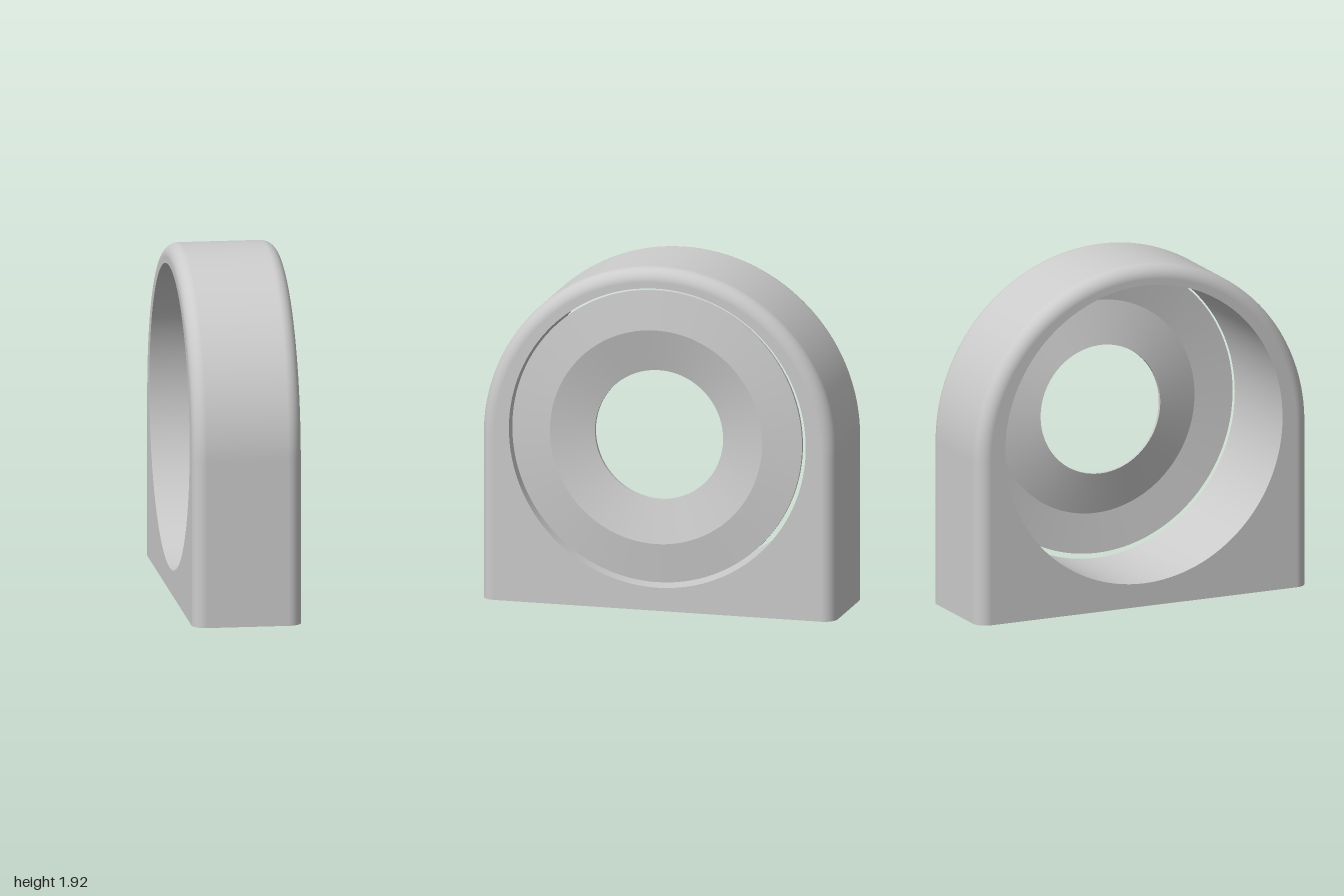
import * as THREE from 'three';
import { mergeGeometries } from 'three/addons/utils/BufferGeometryUtils.js';
import { ParametricGeometry } from 'three/addons/geometries/ParametricGeometry.js';

const X0 = -0.315, X1 = 0.285;          // housing faces
const ARCH_Y = 0.92, FILLET = 0.075;    // arch of radius 1, rounded edges
const BORE_Y = 0.97, BORE_R = 0.84;
const PLATE_Y = 0.982;

// Cross-section of the rim, from the +x face round to the -x face: [x, inset]
function rim(v) {
  if (v > 0.4 && v < 0.6) {
    return [THREE.MathUtils.mapLinear(v, 0.4, 0.6, X1 - FILLET, X0 + FILLET), 0];
  }
  const plusSide = v <= 0.4;
  const a = (plusSide ? v : 1 - v) / 0.4 * Math.PI / 2;
  const out = FILLET * (1 - Math.sin(a)), along = FILLET * (1 - Math.cos(a));
  return [plusSide ? X1 - along : X0 + along, out];
}

// Rim point: straight side, arch, straight side
function rimPoint(u, v, target) {
  const [x, inset] = rim(v);
  const r = 1 - inset;
  if (u < 0.1) target.set(x, ARCH_Y * u / 0.1, r);
  else if (u > 0.9) target.set(x, ARCH_Y * (1 - u) / 0.1, -r);
  else {
    const a = (u - 0.1) / 0.8 * Math.PI;
    target.set(x, ARCH_Y + r * Math.sin(a), r * Math.cos(a));
  }
}

// Flat arched face with the bore cut out
function faceGeometry(x, turn) {
  const r = 1 - FILLET;
  const shape = new THREE.Shape();
  shape.moveTo(-r, 0).lineTo(r, 0).lineTo(r, ARCH_Y);
  shape.absarc(0, ARCH_Y, r, 0, Math.PI, false);
  shape.lineTo(-r, 0);
  shape.holes.push(new THREE.Path().absarc(0, BORE_Y, BORE_R, 0, Math.PI * 2, true));
  return new THREE.ShapeGeometry(shape, 64).rotateY(turn).translate(x, 0, 0);
}

// Flat underside following the rounded rim section
function baseGeometry() {
  const pts = [];
  for (const s of [1, -1]) {
    for (let i = 0; i <= 20; i++) {
      const [x, inset] = rim(s > 0 ? i / 20 : 1 - i / 20);
      pts.push(new THREE.Vector2(x, s * (1 - inset)));
    }
  }
  return new THREE.ShapeGeometry(new THREE.Shape(pts)).rotateX(Math.PI / 2);
}

// Dished ring plate: one lathe band per straight segment keeps the ridges sharp
function plateGeometry() {
  const profile = [[0.82, 0.27], [0.82, 0.288], [0.6, 0.313], [0.3625, 0.25], [0.3625, 0.23], [0.6, 0.293]]
    .map(([r, x]) => new THREE.Vector2(r, x));
  const bands = profile.map((p, i) =>
    new THREE.LatheGeometry([p, profile[(i + 1) % profile.length]], 128));
  return mergeGeometries(bands).rotateZ(-Math.PI / 2);
}

export function createModel() {
  const model = new THREE.Group();
  model.name = 'bearingBlock';
  const material = new THREE.MeshStandardMaterial({ color: 0xcccccc });
  const thin = new THREE.MeshStandardMaterial({ color: 0xcccccc, side: THREE.DoubleSide });

  const housing = new THREE.Group();
  housing.name = 'housing';
  model.add(housing);
  const add = (parent, name, geometry, mat = material) => {
    const mesh = new THREE.Mesh(geometry, mat);
    mesh.name = name;
    parent.add(mesh);
    return mesh;
  };

  add(housing, 'rim', new ParametricGeometry(rimPoint, 100, 20));
  add(housing, 'plateSideFace', faceGeometry(X1, Math.PI / 2));
  add(housing, 'openSideFace', faceGeometry(X0, -Math.PI / 2));
  add(housing, 'base', baseGeometry());

  // Through bore
  const bore = new THREE.CylinderGeometry(BORE_R, BORE_R, X1 - X0, 128, 1, true).rotateZ(Math.PI / 2);
  add(housing, 'bore', bore, thin).position.set((X0 + X1) / 2, BORE_Y, 0);

  // Cover plate sitting loosely in the mouth of the bore
  add(model, 'coverPlate', plateGeometry()).position.y = PLATE_Y;
  return model;
}
